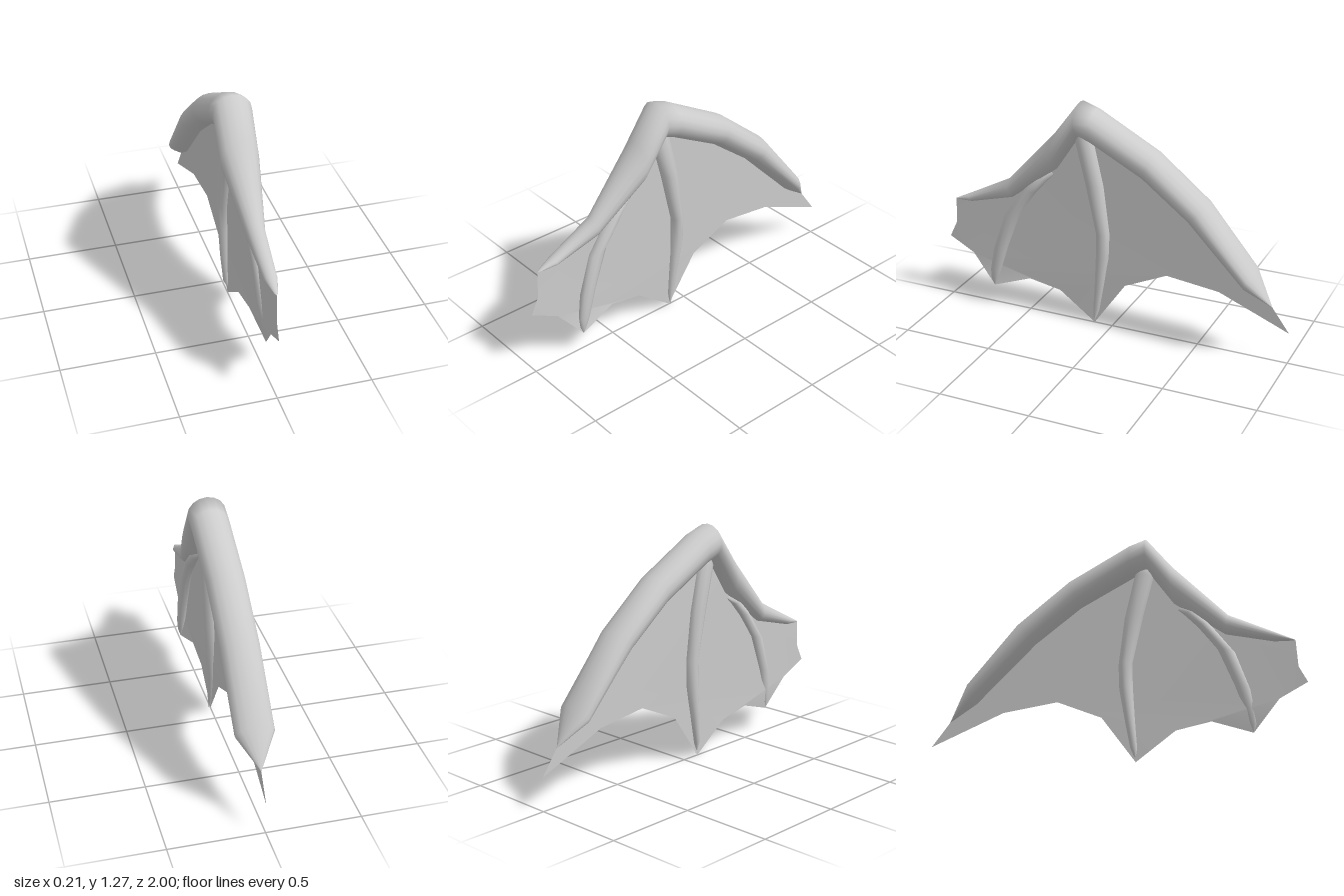
import * as THREE from 'three';

const material = new THREE.MeshStandardMaterial({ color: 0xcccccc, side: THREE.DoubleSide });

// Smooth loft through elliptical rings: [z1, y1, z2, y2, centre x, half width in x]
function loft(name, sections, sides) {
  const positions = [], index = [];
  sections.forEach(([z1, y1, z2, y2, x, w], i) => {
    for (let j = 0; j < sides; j++) {
      const t = (j / sides) * Math.PI * 2, c = Math.cos(t) / 2;
      positions.push(x + Math.sin(t) * w, (y1 + y2) / 2 + (y1 - y2) * c, (z1 + z2) / 2 + (z1 - z2) * c);
      if (i === sections.length - 1) continue;
      const a = i * sides + j, b = i * sides + (j + 1) % sides;
      index.push(a, b, a + sides, b, b + sides, a + sides);
    }
  });
  const geometry = new THREE.BufferGeometry();
  geometry.setAttribute('position', new THREE.Float32BufferAttribute(positions, 3));
  geometry.setIndex(index);
  geometry.computeVertexNormals();
  const mesh = new THREE.Mesh(geometry, material);
  mesh.name = name;
  return mesh;
}

// Thin skin with a scalloped lower edge, leaning slightly towards the front finger's tip
function membrane() {
  const outline = [
    [0.95, 0.6], [0.957, 0.45], [1, 0.36], [0.85, 0.285], [0.71, 0.12], [0.5, 0.19], [0.315, 0.155],
    [0.105, 0.0], [-0.075, 0.26], [-0.315, 0.37], [-0.61, 0.335], [-1, 0.175], [-0.905, 0.305],
    [-0.78, 0.45], [-0.49, 0.77], [-0.22, 0.98], [0.1, 1.15], [0.18, 1.17], [0.32, 0.98], [0.6, 0.72],
  ];
  const geometry = new THREE.ShapeGeometry(new THREE.Shape(outline.map(([z, y]) => new THREE.Vector2(z, y))));
  const p = geometry.attributes.position;
  for (let i = 0; i < p.count; i++) {
    const z = p.getX(i), y = p.getY(i);
    const lean = THREE.MathUtils.clamp((0.6 - y) / 0.48, 0, 1);
    p.setXYZ(i, 0.03 * Math.exp(-(((z - 0.71) / 0.15) ** 2)) * lean, y, z);
  }
  // Mapping z onto the shape's x mirrors it, so turn the faces back
  geometry.index.array.reverse();
  geometry.computeVertexNormals();
  const mesh = new THREE.Mesh(geometry, material);
  mesh.name = 'membrane';
  return mesh;
}

export function createModel() {
  const wing = new THREE.Group();
  wing.name = 'wing';

  // Thick leading arm, from the front tip over the elbow to the rear tip
  wing.add(loft('arm', [
    [0.95, 0.6, 0.95, 0.6, 0, 0],
    [0.94, 0.605, 0.93, 0.598, 0, 0.01],
    [0.86, 0.645, 0.84, 0.603, 0, 0.035],
    [0.61, 0.775, 0.59, 0.67, 0, 0.05],
    [0.32, 1.09, 0.32, 0.88, 0, 0.1],
    [0.18, 1.275, 0.18, 1.09, 0, 0.103],
    [0.09, 1.245, 0.1, 1.06, 0, 0.103],
    [-0.25, 1.06, -0.19, 0.91, 0, 0.103],
    [-0.54, 0.825, -0.44, 0.72, 0, 0.103],
    [-0.8, 0.5, -0.76, 0.4, 0, 0.103],
    [-0.905, 0.305, -0.905, 0.305, 0, 0],
  ], 16));

  // Front finger
  wing.add(loft('frontFinger', [
    [0.34, 0.84, 0.38, 0.88, 0, 0],
    [0.37, 0.81, 0.45, 0.81, 0.005, 0.035],
    [0.44, 0.73, 0.51, 0.74, 0.01, 0.04],
    [0.54, 0.59, 0.64, 0.56, 0.014, 0.036],
    [0.62, 0.38, 0.71, 0.35, 0.02, 0.033],
    [0.665, 0.23, 0.732, 0.22, 0.028, 0.022],
    [0.69, 0.165, 0.728, 0.16, 0.03, 0.014],
    [0.71, 0.12, 0.71, 0.12, 0.03, 0],
  ], 10));

  // Middle finger
  wing.add(loft('middleFinger', [
    [0.13, 1.13, 0.2, 1.1, 0, 0.02],
    [0.107, 1.07, 0.21, 1.05, 0, 0.04],
    [0.05, 0.82, 0.155, 0.84, 0, 0.045],
    [0.016, 0.55, 0.09, 0.55, 0, 0.042],
    [0.02, 0.41, 0.093, 0.41, 0, 0.04],
    [0.05, 0.23, 0.103, 0.23, -0.003, 0.03],
    [0.077, 0.08, 0.113, 0.08, -0.002, 0.02],
    [0.105, 0.005, 0.105, 0.005, 0.01, 0],
  ], 10));

  wing.add(membrane());
  return wing;
}
